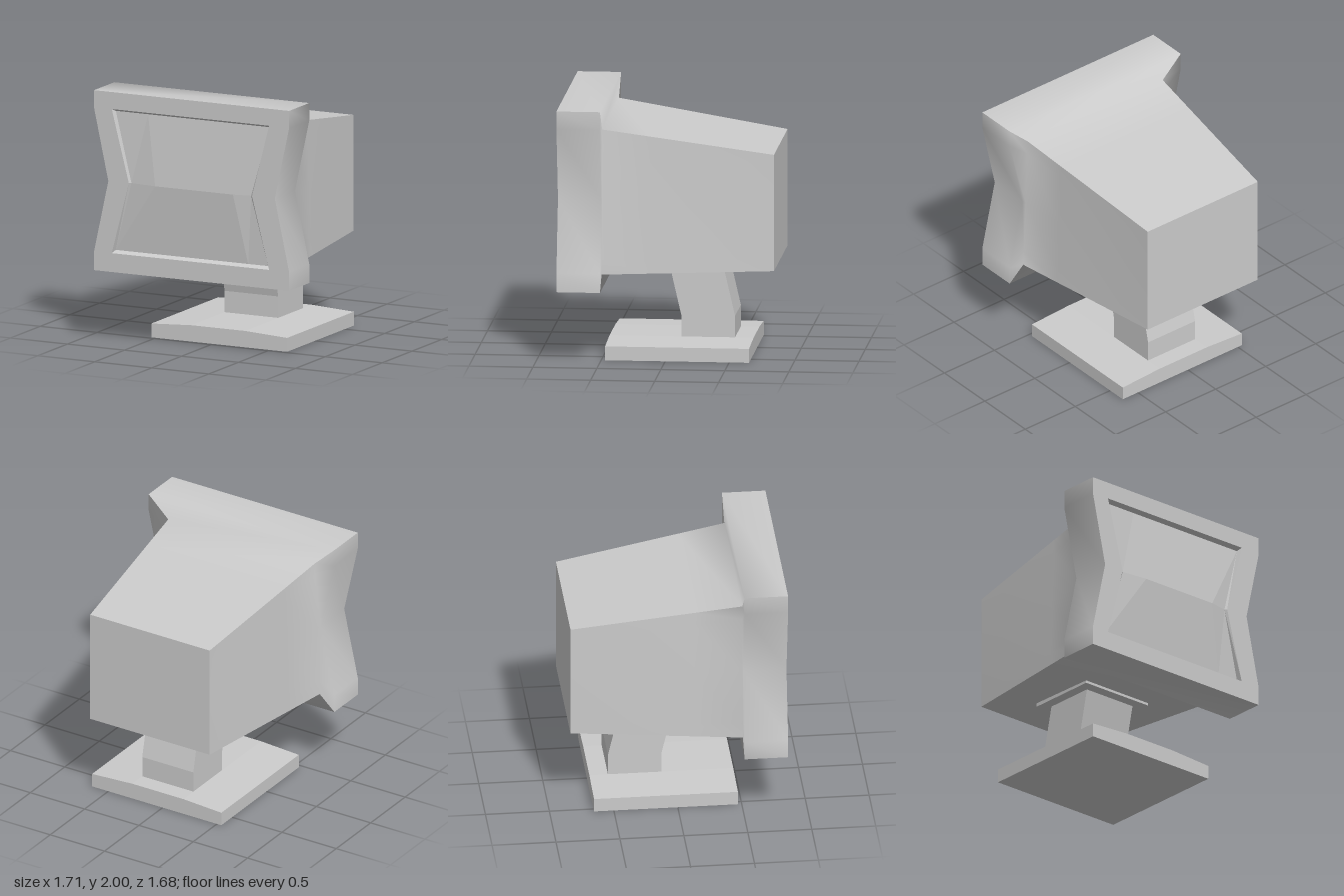
import * as THREE from 'three';

const material = new THREE.MeshStandardMaterial({ color: 0xcccccc });
const flatMaterial = new THREE.MeshStandardMaterial({ color: 0xcccccc, flatShading: true });

function addMesh(parent, name, geometry, mat = flatMaterial) {
  const mesh = new THREE.Mesh(geometry, mat);
  mesh.name = name;
  parent.add(mesh);
  return mesh;
}

// Skin over rows of [x, y, z] points, all rows the same length
function loft(rows) {
  const n = rows[0].length, index = [];
  for (let r = 0; r < rows.length - 1; r++) {
    for (let i = 0; i < n - 1; i++) {
      const a = r * n + i, b = a + 1, c = a + n, d = c + 1;
      index.push(a, c, b, b, c, d);
    }
  }
  const geometry = new THREE.BufferGeometry();
  geometry.setAttribute('position', new THREE.Float32BufferAttribute(rows.flat(2), 3));
  geometry.setIndex(index);
  geometry.computeVertexNormals();
  return geometry;
}

const toShape = (pts) => new THREE.Shape(pts.map(([x, y]) => new THREE.Vector2(x, y)));
const lerp = THREE.MathUtils.lerp;

// Pinched right-hand edge of the bezel, bottom to top
const bezelEdge = [[0.855, 0.57], [0.855, 0.72], [0.73, 1.29], [0.855, 1.86], [0.855, 2]];
const mirrorEdge = (edge) => edge.map(([x, y]) => [-x, y]).reverse();
const FRONT = 0.83, BEZEL_BACK = 0.49, BACK = -0.84;

// Housing cross-section edge at a given depth
function housingEdge(z) {
  const t = (BEZEL_BACK - z) / (BEZEL_BACK - BACK);
  return bezelEdge.map(([, y]) => {
    const s = (y - 0.57) / 1.43;
    return [lerp(lerp(0.72, 0.675, s), 0.55, t), lerp(lerp(0.69, 0.71, t), lerp(1.83, 1.63, t), s)];
  });
}

function createHousing() {
  const group = new THREE.Group();
  group.name = 'housing';
  const sections = [
    [bezelEdge, FRONT], [bezelEdge, BEZEL_BACK],
    ...[BEZEL_BACK, 0.12, BACK].map((z) => [housingEdge(z), z]),
  ];
  // Four sides, each smooth along its depth, with sharp corners between them
  const sides = {
    leftSide: (e) => e,
    rightSide: mirrorEdge,
    topSide: (e) => [e[4], [-e[4][0], e[4][1]]],
    bottomSide: (e) => [[-e[0][0], e[0][1]], e[0]],
  };
  for (const [name, pick] of Object.entries(sides)) {
    addMesh(group, name, loft(sections.map(([edge, z]) => pick(edge).map(([x, y]) => [x, y, z]))), material);
  }
  const back = addMesh(group, 'backPanel', new THREE.PlaneGeometry(1.1, 0.92));
  back.rotation.y = Math.PI;
  back.position.set(0, 1.17, BACK);
  return group;
}

function createScreen() {
  const group = new THREE.Group();
  group.name = 'screenAssembly';
  const cx = -0.01;
  const opening = (w, mid, y0, y1) => [
    [cx + w, y0], [cx + mid, 1.29], [cx + w, y1], [cx - w, y1], [cx - mid, 1.29], [cx - w, y0],
  ];
  const outer = opening(0.69, 0.54, 0.72, 1.865);
  const inner = opening(0.675, 0.525, 0.74, 1.845);

  // Flat bezel face with the pinched opening
  const face = toShape([...bezelEdge, ...mirrorEdge(bezelEdge)]);
  face.holes.push(toShape(outer));
  addMesh(group, 'bezelFace', new THREE.ShapeGeometry(face).translate(0, 0, FRONT));

  // Bevelled wall running from the bezel down to the glass
  const ring = (pts, zAt) => [...pts, pts[0]].reverse().map(([x, y]) => [x, y, zAt(y)]);
  const glassEdge = (y) => (y === 1.29 ? 0.815 : 0.79);
  addMesh(group, 'recessWall', loft([ring(outer, () => FRONT), ring(inner, glassEdge)]));

  // Glass bulging towards its middle
  const rows = [[1.845, 0.675, 0.79], [1.29, 0.525, 0.84], [0.74, 0.675, 0.79]];
  addMesh(group, 'screen', loft(rows.map(([y, w, z]) =>
    [-1, -0.58, 0.72, 1].map((s) => [cx + s * w, y, Math.abs(s) === 1 ? glassEdge(y) : z]))));
  return group;
}

function createStand() {
  const group = new THREE.Group();
  group.name = 'stand';
  const extrude = (pts, depth) => new THREE.ExtrudeGeometry(toShape(pts), { depth, bevelEnabled: false });

  // Base slab, slightly raised along the middle
  const base = extrude([[-0.54, 0], [0.65, 0], [0.65, 0.11], [0.28, 0.13], [-0.19, 0.13], [-0.54, 0.11]], 1.125);
  addMesh(group, 'base', base.translate(0, 0, -0.655));

  // Neck leaning forward, profile drawn as (-z, y) and extruded across x
  const neck = extrude([[0.09, 0.12], [0.51, 0.12], [0.51, 0.3], [0.42, 0.69], [0, 0.69], [0.09, 0.3]], 0.47);
  addMesh(group, 'neck', neck.rotateY(Math.PI / 2).translate(-0.19, 0, 0));

  // Mounting plate under the housing
  addMesh(group, 'mountPlate', new THREE.BoxGeometry(0.64, 0.035, 0.59)).position.set(0.045, 0.693, -0.21);
  return group;
}

export function createModel() {
  const model = new THREE.Group();
  model.name = 'monitor';
  model.add(createHousing(), createScreen(), createStand());
  return model;
}
